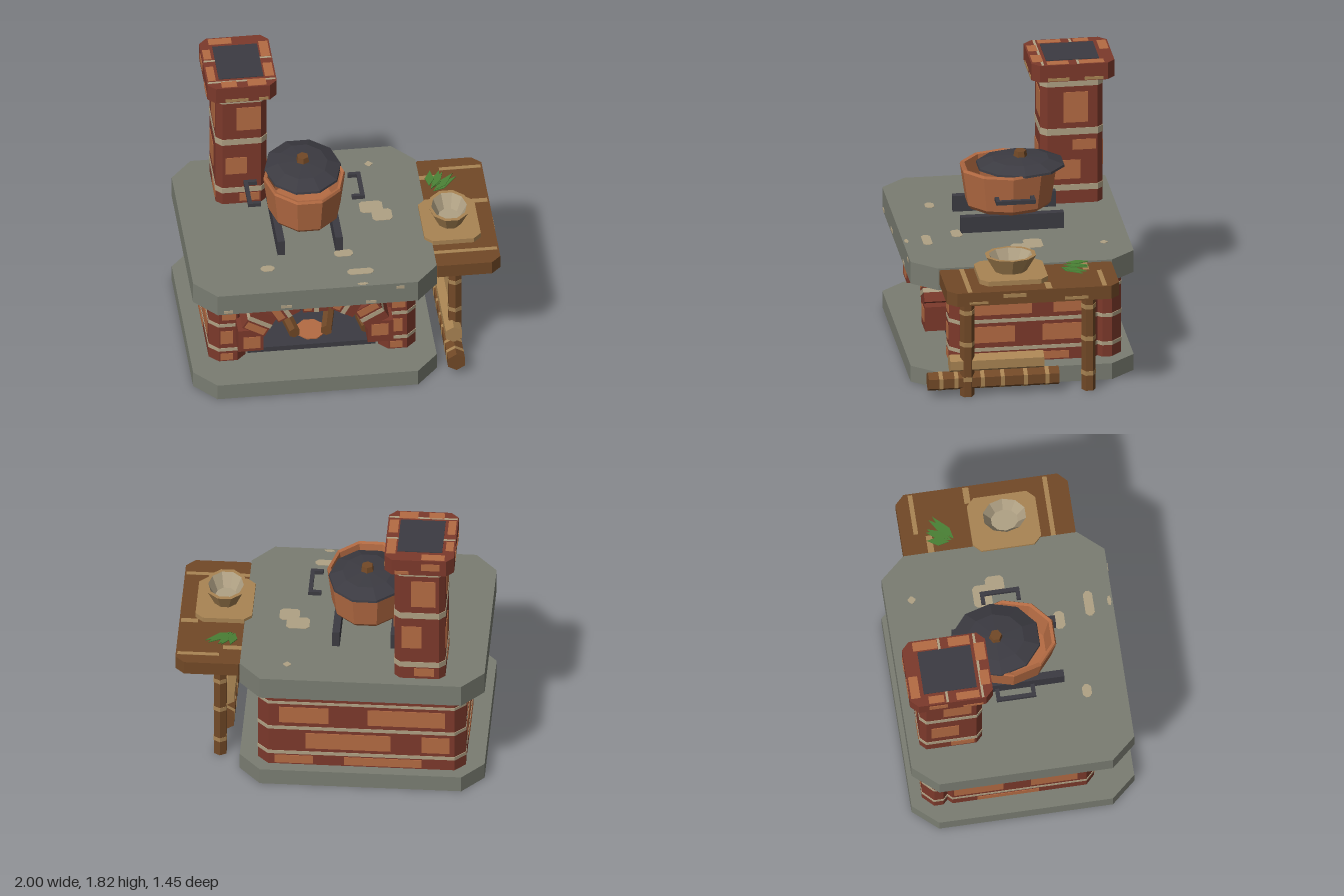
import * as THREE from 'three';

const mat = (name, color) => Object.assign(new THREE.MeshStandardMaterial({ color }), { name });
const M = {
  stone: mat('stone', 0x7a7d72), brick: mat('red brick', 0x7c392b), orange: mat('orange brick and copper', 0xb46b43),
  mortar: mat('mortar', 0xb0a184), iron: mat('iron', 0x3c3b42), wood: mat('wood', 0x724927),
  pale: mat('pale wood', 0xa98453), leaf: mat('leaf green', 0x4a8135),
};

function add(parent, name, geo, material) {
  const m = new THREE.Mesh(geo, material);
  m.name = name;
  parent.add(m);
  return m;
}
const group = (parent, name) => {
  const g = new THREE.Group();
  g.name = name;
  parent.add(g);
  return g;
};
const flat = (geo) => {
  const g = geo.index ? geo.toNonIndexed() : geo;
  g.computeVertexNormals();
  return g;
};
// Box given by its limits
const box = (x0, x1, y0, y1, z0, z1) =>
  new THREE.BoxGeometry(x1 - x0, y1 - y0, z1 - z0).translate((x0 + x1) / 2, (y0 + y1) / 2, (z0 + z1) / 2);
// Block with cut vertical corners
function block(x0, x1, y0, y1, z0, z1, cx, cz = cx) {
  const w = (x1 - x0) / 2, d = (z1 - z0) / 2;
  const pts = [[w - cx, -d], [w, cz - d], [w, d - cz], [w - cx, d], [cx - w, d], [-w, d - cz], [-w, cz - d], [cx - w, -d]];
  const s = new THREE.Shape(pts.map((p) => new THREE.Vector2(...p)));
  return new THREE.ExtrudeGeometry(s, { depth: y1 - y0, bevelEnabled: false })
    .rotateX(-Math.PI / 2).translate((x0 + x1) / 2, y0, (z0 + z1) / 2);
}
const lathe = (pts, n, sx, sz) =>
  flat(new THREE.LatheGeometry(pts.map((p) => new THREE.Vector2(...p)), n, Math.PI / n).scale(sx, 1, sz));

// Thin bricks on a vertical face; axis is the face normal, list holds [u0, u1, y0, y1]
function panels(parent, axis, at, list, material = M.orange) {
  const t = 0.004;
  for (const [u0, u1, y0, y1] of list)
    add(parent, 'facing brick', axis === 'x' ? box(at - t, at + t, y0, y1, u0, u1) : box(u0, u1, y0, y1, at - t, at + t), material);
}
// Brick block with mortar bands
function brickBlock(parent, name, [x0, x1, y0, y1, z0, z1], c, bands) {
  const g = group(parent, name), e = 0.003;
  add(g, name + ' body', block(x0, x1, y0, y1, z0, z1, c), M.brick);
  for (const [b0, b1] of bands) add(g, 'mortar band', block(x0 - e, x1 + e, b0, b1, z0 - e, z1 + e, c), M.mortar);
  return g;
}

export function createModel() {
  const model = new THREE.Group();
  model.name = 'outdoorOven';

  // Stone slabs with worn patches
  add(model, 'baseSlab', block(-1, 0.58, 0, 0.11, -0.725, 0.725, 0.14, 0.16), M.stone);
  add(model, 'topSlab', block(-1, 0.58, 0.68, 0.83, -0.725, 0.725, 0.14, 0.16), M.stone);
  for (const [x0, x1, z0, z1] of [[0.16, 0.31, -0.16, -0.04], [0.23, 0.36, -0.07, 0.05], [-0.06, 0.06, 0.33, 0.4],
    [0, 0.17, 0.54, 0.6], [0.25, 0.3, -0.58, -0.53], [-0.55, -0.46, 0.44, 0.5], [0.05, 0.12, 0.69, 0.715]])
    add(model, 'slabPatch', block(x0, x1, 0.826, 0.833, z0, z1, 0.02), M.mortar);
  panels(model, 'z', 0.725, [[-0.82, -0.76, 0.69, 0.71], [-0.45, -0.38, 0.7, 0.72], [0.1, 0.17, 0.69, 0.71], [0.3, 0.35, 0.79, 0.81]], M.mortar);

  // Firebox walls
  const courses = [[0.19, 0.215], [0.385, 0.41], [0.585, 0.605]];
  const back = brickBlock(model, 'backWall', [-0.88, 0.46, 0.11, 0.635, -0.65, -0.45], 0.07, courses);
  panels(back, 'z', -0.65, [[-0.75, -0.25, 0.44, 0.56], [0, 0.32, 0.44, 0.56], [-0.4, 0.15, 0.24, 0.36], [-0.78, -0.6, 0.24, 0.36], [-0.6, -0.1, 0.12, 0.18], [0.1, 0.35, 0.12, 0.18]]);
  panels(back, 'z', -0.45, [[-0.55, 0.13, 0.41, 0.57], [-0.2, 0.13, 0.25, 0.36], [-0.5, -0.25, 0.12, 0.18]]);
  for (const [name, x0, x1, out] of [['leftWall', 0.22, 0.46, 0.46], ['rightWall', -0.88, -0.64, -0.88]]) {
    const w = brickBlock(model, name, [x0, x1, 0.11, 0.635, -0.52, 0.47], 0.06, courses);
    panels(w, 'x', out, [[-0.06, 0.33, 0.44, 0.55], [-0.45, -0.2, 0.44, 0.55], [-0.45, -0.13, 0.25, 0.36], [0.05, 0.35, 0.25, 0.36], [-0.3, 0.1, 0.12, 0.17]]);
    panels(w, 'z', 0.47, [[x0 + 0.08, x1 - 0.07, 0.44, 0.55], [x0 + 0.07, x0 + 0.15, 0.25, 0.35], [x0 + 0.07, x1 - 0.09, 0.12, 0.17]]);
  }

  // Arch of seven stones on an ellipse
  const arch = group(model, 'arch');
  for (let i = 0; i < 7; i++) {
    const a = (i * Math.PI) / 6, s = group(arch, 'archStone');
    add(s, 'stoneBlock', new THREE.BoxGeometry(0.165, 0.165, 0.16), M.brick);
    const low = i === 0 || i === 6;
    if (!low) {
      add(s, 'mortarStripe', box(-0.083, 0.083, -0.02, 0.01, -0.075, 0.084), M.mortar);
    }
    add(s, 'stoneFacing', low ? box(-0.06, 0.05, -0.03, 0.06, 0.076, 0.084) : box(-0.07, 0.07, 0.025, 0.075, 0.076, 0.083), M.orange);
    s.position.set(-0.21 + 0.42 * Math.cos(a), 0.365 + 0.28 * Math.sin(a), 0.53);
    s.rotation.z = a;
  }

  // Fire tray, embers and short logs
  add(model, 'fireTray', box(-0.63, 0.2, 0.13, 0.165, -0.3, 0.43), M.iron);
  add(model, 'embers', block(-0.29, -0.12, 0.164, 0.173, 0.18, 0.38, 0.05), M.orange);
  for (const [x, turn] of [[-0.35, 0.18], [-0.07, -0.2], [0.12, 0.16]]) {
    const log = add(model, 'fireLog', flat(new THREE.CylinderGeometry(0.038, 0.038, 0.4, 6).rotateX(Math.PI / 2)), M.wood);
    log.position.set(x, 0.2, 0.15);
    log.rotation.y = turn;
  }

  // Chimney
  const chimney = brickBlock(model, 'chimney', [-0.75, -0.42, 0.83, 1.7, -0.65, -0.245], 0.04, [[0.92, 0.96], [1.305, 1.35], [1.64, 1.69]]);
  panels(chimney, 'z', -0.245, [[-0.62, -0.46, 1.42, 1.6], [-0.69, -0.55, 1.07, 1.2], [-0.6, -0.47, 0.85, 0.91]]);
  panels(chimney, 'z', -0.65, [[-0.69, -0.53, 1.4, 1.6], [-0.6, -0.47, 1.07, 1.24], [-0.68, -0.55, 0.85, 0.91]]);
  panels(chimney, 'x', -0.42, [[-0.55, -0.39, 1.39, 1.6], [-0.6, -0.45, 1.2, 1.27], [-0.5, -0.3, 1.0, 1.13]]);
  panels(chimney, 'x', -0.75, [[-0.5, -0.32, 1.4, 1.6], [-0.58, -0.4, 1.03, 1.2], [-0.45, -0.3, 0.85, 0.91]]);
  add(chimney, 'chimneyCap', block(-0.81, -0.36, 1.7, 1.815, -0.72, -0.18, 0.05), M.brick);
  panels(chimney, 'z', -0.18, [[-0.7, -0.55, 1.705, 1.725], [-0.48, -0.42, 1.705, 1.725]], M.pale);
  panels(chimney, 'x', -0.36, [[-0.64, -0.52, 1.705, 1.725], [-0.42, -0.28, 1.705, 1.725]], M.pale);
  panels(chimney, 'z', -0.72, [[-0.72, -0.6, 1.74, 1.79], [-0.52, -0.43, 1.705, 1.73]]);
  panels(chimney, 'x', -0.81, [[-0.6, -0.48, 1.74, 1.79], [-0.38, -0.25, 1.705, 1.73]]);
  for (const [x0, x1, z0, z1] of [[-0.75, -0.6, -0.71, -0.65], [-0.43, -0.37, -0.65, -0.49], [-0.43, -0.37, -0.42, -0.28],
    [-0.8, -0.75, -0.6, -0.5], [-0.8, -0.75, -0.42, -0.27], [-0.72, -0.62, -0.25, -0.19], [-0.55, -0.43, -0.26, -0.19]])
    add(chimney, 'capFacing', box(x0, x1, 1.81, 1.817, z0, z1), M.orange);
  for (const z of [-0.48, -0.25]) add(chimney, 'capMortar', box(-0.805, -0.365, 1.81, 1.8165, z - 0.008, z + 0.008), M.mortar);
  add(chimney, 'flue', box(-0.73, -0.44, 1.812, 1.82, -0.625, -0.28), M.iron);

  // Pot stand bars
  for (const x of [-0.4, -0.025]) add(model, 'potStandBar', box(x - 0.024, x + 0.024, 0.83, 0.938, -0.335, 0.335), M.iron);

  // Copper pot, lid pushed back, knob and side handles
  const pot = group(model, 'pot');
  pot.position.x = -0.21;
  add(pot, 'potBody', lathe([[0, 0.938], [0.215, 0.938], [0.235, 0.965], [0.265, 1.2], [0.258, 1.216], [0.24, 1.21], [0.21, 0.98], [0, 0.97]], 10, 1, 1.2), M.orange);
  const lid = group(pot, 'lid');
  lid.position.set(0, 0, -0.08);
  add(lid, 'lidPlate', lathe([[0, 1.203], [0.25, 1.203], [0.247, 1.217], [0.16, 1.253], [0, 1.268]], 10, 1, 1.17), M.iron);
  add(lid, 'knob', flat(new THREE.CylinderGeometry(0.038, 0.045, 0.04, 6).translate(0, 1.282, 0)), M.wood);
  for (const s of [-1, 1]) {
    const h = group(pot, 'potHandle');
    add(h, 'grip', new THREE.BoxGeometry(0.026, 0.026, 0.256).translate(s * 0.365, 1.09, 0), M.iron);
    for (const z of [-0.115, 0.115]) add(h, 'handleArm', new THREE.BoxGeometry(0.07, 0.026, 0.026).translate(s * 0.33, 1.09, z), M.iron);
  }

  // Side table
  const table = group(model, 'sideTable');
  add(table, 'tableTop', block(0.53, 1, 0.728, 0.818, -0.56, 0.56, 0.06), M.wood);
  for (const [x0, x1, z0, z1] of [[0.58, 0.7, -0.4, -0.36], [0.72, 0.99, -0.475, -0.445], [0.88, 0.99, -0.12, -0.08], [0.58, 0.99, 0.4, 0.43]])
    add(table, 'plankStripe', box(x0, x1, 0.813, 0.82, z0, z1), M.pale);
  panels(table, 'x', 1, [[0.05, 0.2, 0.775, 0.8], [-0.35, -0.2, 0.74, 0.76], [0.3, 0.42, 0.74, 0.755]], M.pale);
  for (const z of [-0.392, 0.397]) {
    add(table, 'tableLeg', flat(new THREE.CylinderGeometry(0.047, 0.047, 0.73, 6).translate(0.717, 0.365, z)), M.wood);
    for (const y of [0.12, 0.36, 0.58])
      add(table, 'legBand', flat(new THREE.CylinderGeometry(0.049, 0.049, 0.03, 6).translate(0.717, y, z)), M.pale);
  }

  // Board and bowl
  add(table, 'cuttingBoard', block(0.535, 0.9, 0.818, 0.85, -0.11, 0.335, 0.05), M.pale);
  add(table, 'bowlOuter', lathe([[0, 0.85], [0.085, 0.85], [0.137, 0.96], [0.115, 0.96]], 10, 1, 1.24).translate(0.715, 0, 0.115), M.pale);
  add(table, 'bowlInner', lathe([[0.117, 0.96], [0.072, 0.87], [0, 0.87]], 10, 1, 1.24).translate(0.715, 0, 0.115), M.mortar);

  // Leaf bunch: a fan of folded blades
  const herbs = group(table, 'herbs');
  const bladeMat = M.leaf;
  for (let i = 0; i < 5; i++) {
    const s = new THREE.Shape([[0, 0], [0.03, 0.07], [0, 0.2 - i * 0.014], [-0.03, 0.07]].map((p) => new THREE.Vector2(...p)));
    const b = add(herbs, 'leafBlade', new THREE.ExtrudeGeometry(s, { depth: 0.006, bevelEnabled: false }).rotateX(-Math.PI / 2), bladeMat);
    b.position.set(0.655 - i * 0.006 + (i % 2) * 0.02, 0.822 + i * 0.005, -0.225 - i * 0.008);
    b.rotation.set(0.08, -0.95 + i * 0.2, 0, 'YXZ');
  }

  // Firewood stacked under the table
  const wood = group(model, 'firewood');
  const log = (r, y, z0, z1, m, name) =>
    add(wood, name, flat(new THREE.CylinderGeometry(r, r, z1 - z0, 6).rotateX(Math.PI / 2).translate(0.698, y, (z0 + z1) / 2)), m);
  log(0.063, 0.098, -0.2, 0.65, M.wood, 'lowerLog');
  log(0.06, 0.216, -0.1, 0.51, M.pale, 'upperLog');
  for (const z of [-0.12, 0.02, 0.17, 0.3, 0.47, 0.57]) log(0.065, 0.098, z - 0.013, z + 0.013, M.pale, 'barkBand');

  return model;
}
